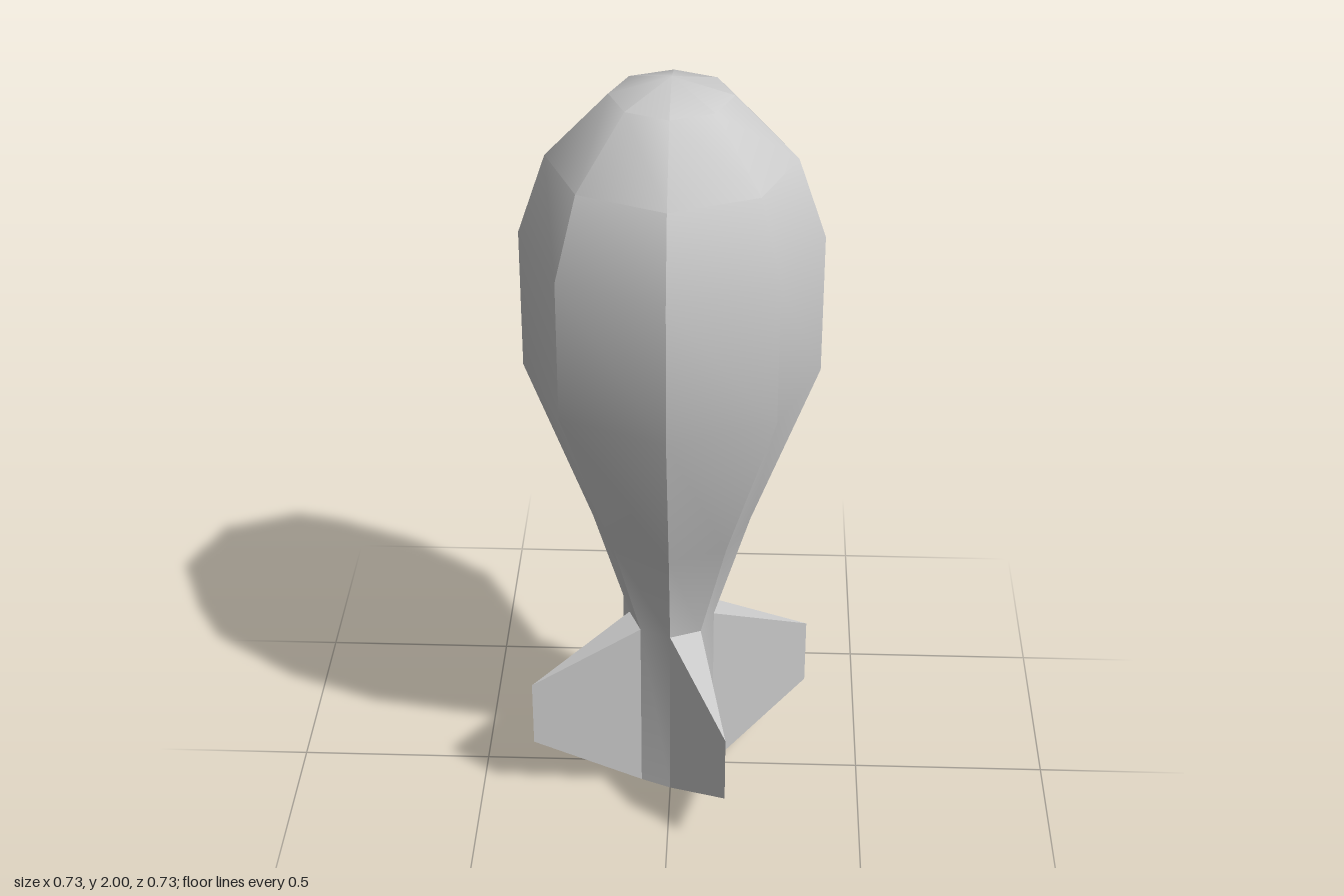
import * as THREE from 'three';
import { toCreasedNormals } from 'three/addons/utils/BufferGeometryUtils.js';

const material = new THREE.MeshStandardMaterial({ color: 0xcccccc });

// Wedge fin: rises from one facet of the tail and tapers to a vertical edge
function finGeometry() {
  const r = 0.11, d = r * Math.SQRT1_2;
  const a0 = [0, 0, r], a1 = [0, 0.5, r];
  const b0 = [d, 0, d], b1 = [d, 0.5, d];
  const t0 = [0.148, 0.178, 0.357], t1 = [0.148, 0.365, 0.357];
  const triangles = [
    a0, t0, t1, a0, t1, a1, // one side
    t0, b0, b1, t0, b1, t1, // other side
    a1, t1, b1,             // sloping top
    a0, b0, t0,             // sloping underside
  ];
  const geometry = new THREE.BufferGeometry();
  geometry.setAttribute('position', new THREE.Float32BufferAttribute(triangles.flat(), 3));
  geometry.computeVertexNormals();
  return geometry;
}

export function createModel() {
  const model = new THREE.Group();
  model.name = 'finnedBomb';

  // Eight-sided body, smooth along its length and creased between facets
  const profile = [
    [0, 0], [0.11, 0], [0.11, 0.5], [0.2, 0.8], [0.363, 1.24],
    [0.363, 1.6], [0.295, 1.8], [0.145, 1.955], [0, 2],
  ].map(([r, y]) => new THREE.Vector2(r, y));
  const bodyGeometry = toCreasedNormals(new THREE.LatheGeometry(profile, 8), THREE.MathUtils.degToRad(35));
  const body = new THREE.Mesh(bodyGeometry, material);
  body.name = 'body';
  model.add(body);

  // Four tail fins, on every other facet
  const geometry = finGeometry();
  for (let i = 0; i < 4; i++) {
    const fin = new THREE.Mesh(geometry, material);
    fin.name = `tailFin${i + 1}`;
    fin.rotation.y = i * Math.PI / 2;
    model.add(fin);
  }
  return model;
}
